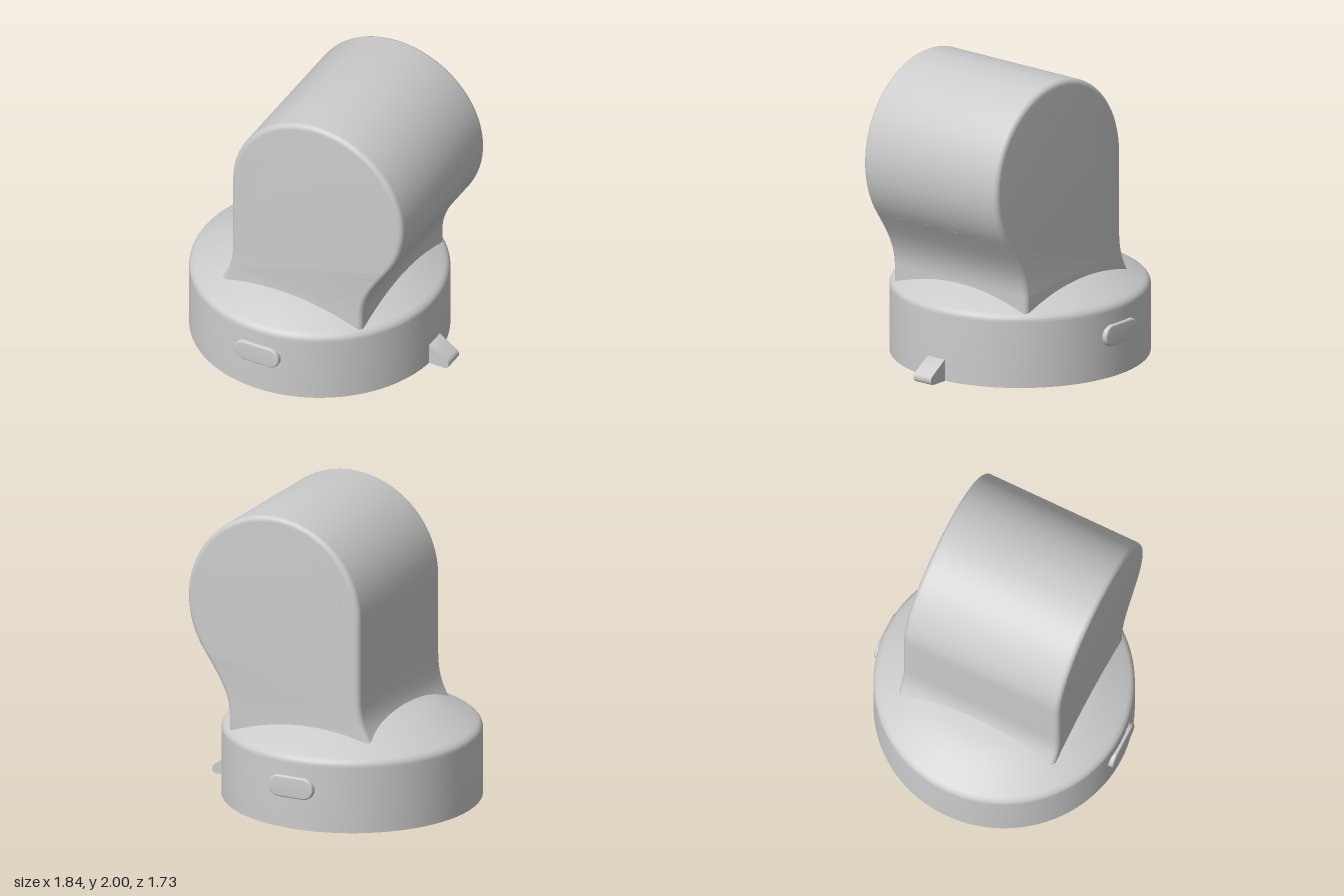
import * as THREE from 'three';
import { toCreasedNormals } from 'three/addons/utils/BufferGeometryUtils.js';

const BASE_X = -0.073, BASE_R = 0.848;

export function createModel() {
  const group = new THREE.Group();
  const material = new THREE.MeshStandardMaterial({ color: 0xcccccc });

  const add = (name, geometry, crease = 0.6) => {
    const mesh = new THREE.Mesh(toCreasedNormals(geometry, crease), material);
    mesh.name = name;
    group.add(mesh);
    return mesh;
  };

  // Extrusion centred on z = 0, with rounded edges that stay inside the outline
  const extrude = (shape, depth, bevel, curveSegments = 48) => {
    const geometry = new THREE.ExtrudeGeometry(shape, {
      depth: depth - 2 * bevel, curveSegments,
      bevelEnabled: bevel > 0, bevelThickness: bevel, bevelSize: bevel,
      bevelOffset: -bevel, bevelSegments: 5,
    });
    return geometry.translate(0, 0, -(depth - 2 * bevel) / 2);
  };

  // Round base: straight wall, rounded shoulder and shallow dome
  const profile = new THREE.Path();
  profile.moveTo(0, 0);
  profile.lineTo(BASE_R, 0);
  profile.lineTo(BASE_R, 0.445);
  profile.quadraticCurveTo(BASE_R, 0.48, 0.81, 0.5);
  profile.bezierCurveTo(0.7, 0.555, 0.6, 0.605, 0.5, 0.63);
  profile.quadraticCurveTo(0.3, 0.68, 0, 0.7);
  const base = add('base', new THREE.LatheGeometry(profile.getPoints(10), 96));
  base.position.x = BASE_X;

  // Leaning head: round top, straight left wall with a flared foot, waisted right wall
  const head = new THREE.Shape();
  head.moveTo(-0.5, 0.35);
  head.lineTo(0.54, 0.35);
  head.lineTo(0.54, 0.6);
  head.bezierCurveTo(0.545, 0.75, 0.62, 0.852, 0.728, 1.011);
  head.absarc(0.21, 1.37, 0.63, -0.606, Math.PI, false);
  head.lineTo(-0.42, 0.86);
  head.bezierCurveTo(-0.42, 0.7, -0.45, 0.64, -0.5, 0.55);
  add('head', extrude(head, 1.13, 0.035));

  // Pill-shaped buttons on the front and back of the wall
  const pill = new THREE.Shape();
  const half = 0.09, radius = 0.073;
  pill.absarc(half, 0, radius, -Math.PI / 2, Math.PI / 2, false);
  pill.absarc(-half, 0, radius, Math.PI / 2, Math.PI * 1.5, false);
  for (const side of [1, -1]) {
    const button = add(side > 0 ? 'frontButton' : 'backButton', extrude(pill, 0.1, 0.012, 16));
    button.position.set(BASE_X, 0.285, side * 0.817);
  }

  // Wedge-shaped tab at the foot of the left side
  const tab = new THREE.Shape();
  tab.moveTo(0.72, 0);
  tab.lineTo(0.885, 0);
  tab.quadraticCurveTo(0.915, 0, 0.915, 0.03);
  tab.quadraticCurveTo(0.915, 0.05, 0.895, 0.064);
  tab.lineTo(0.775, 0.145);
  tab.lineTo(0.72, 0.145);
  add('tab', extrude(tab, 0.145, 0, 8));

  return group;
}
